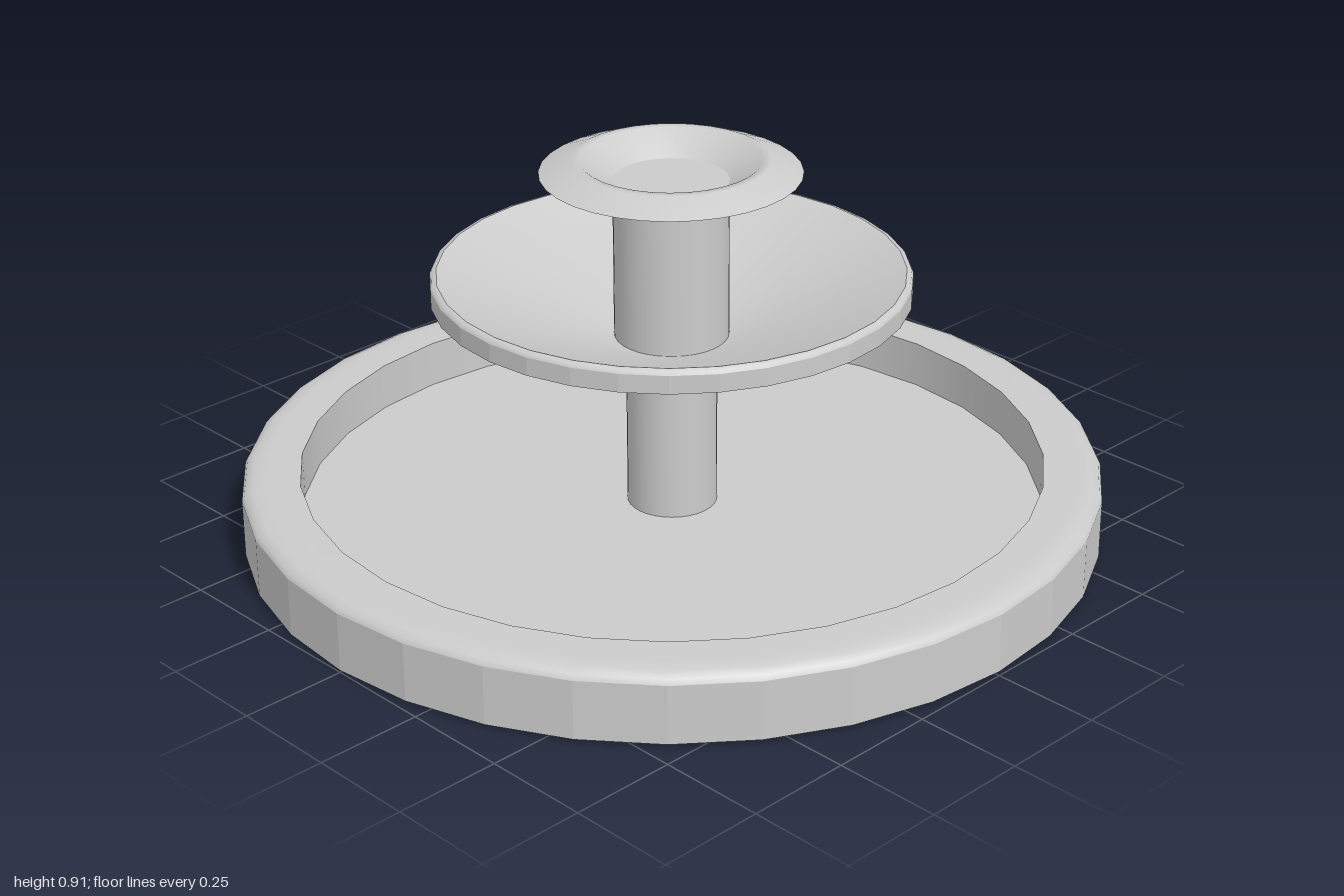
import * as THREE from 'three';

const SIDES = 32;
const smooth = new THREE.MeshStandardMaterial({ color: 0xcccccc, side: THREE.DoubleSide });
const faceted = new THREE.MeshStandardMaterial({ color: 0xcccccc, side: THREE.DoubleSide, flatShading: true });

// One turned part; each profile is its own lathe, so the joints between profiles stay sharp
function turned(name, material, ...profiles) {
  const part = new THREE.Group();
  part.name = name;
  for (const profile of profiles) {
    const points = profile.map(([r, y]) => new THREE.Vector2(r, y));
    const mesh = new THREE.Mesh(new THREE.LatheGeometry(points, SIDES), material);
    mesh.name = name + 'Surface';
    part.add(mesh);
  }
  return part;
}

export function createModel() {
  const fountain = new THREE.Group();
  fountain.name = 'fountain';

  fountain.add(
    // Wide basin with rounded rim and recessed floor
    turned('basinWall', faceted, [[1, 0], [1, 0.14]]),
    turned('basin', smooth,
      [[0, 0], [1, 0]],
      [[1, 0.14], [0.994, 0.152], [0.975, 0.161], [0.945, 0.165], [0.865, 0.165]],
      [[0.865, 0.165], [0.865, 0.052]],
      [[0.865, 0.052], [0, 0.052]]),

    // Lower column
    turned('lowerColumn', smooth, [[0.105, 0.052], [0.105, 0.37]]),

    // Middle bowl: conical underside, thin upright lip, conical inside
    turned('bowlLip', faceted, [[0.55, 0.582], [0.55, 0.625]]),
    turned('bowl', smooth,
      [[0, 0.37], [0.105, 0.37]],
      [[0.105, 0.37], [0.55, 0.582]],
      [[0.55, 0.625], [0.546, 0.633], [0.535, 0.636]],
      [[0.535, 0.636], [0.13, 0.475], [0, 0.475]]),

    // Upper column
    turned('upperColumn', smooth, [[0.132, 0.47], [0.132, 0.81]]),

    // Top dish: flared underside, bevelled rim, hollow centre
    turned('topDish', smooth,
      [[0, 0.81], [0.132, 0.81]],
      [[0.132, 0.81], [0.298, 0.872]],
      [[0.298, 0.872], [0.225, 0.902], [0.205, 0.902], [0.132, 0.852]],
      [[0.132, 0.852], [0, 0.852]]),
  );

  // The whole piece leans back very slightly
  fountain.rotation.x = -0.005;
  fountain.position.y = 0.005;

  const model = new THREE.Group();
  model.add(fountain);
  return model;
}
